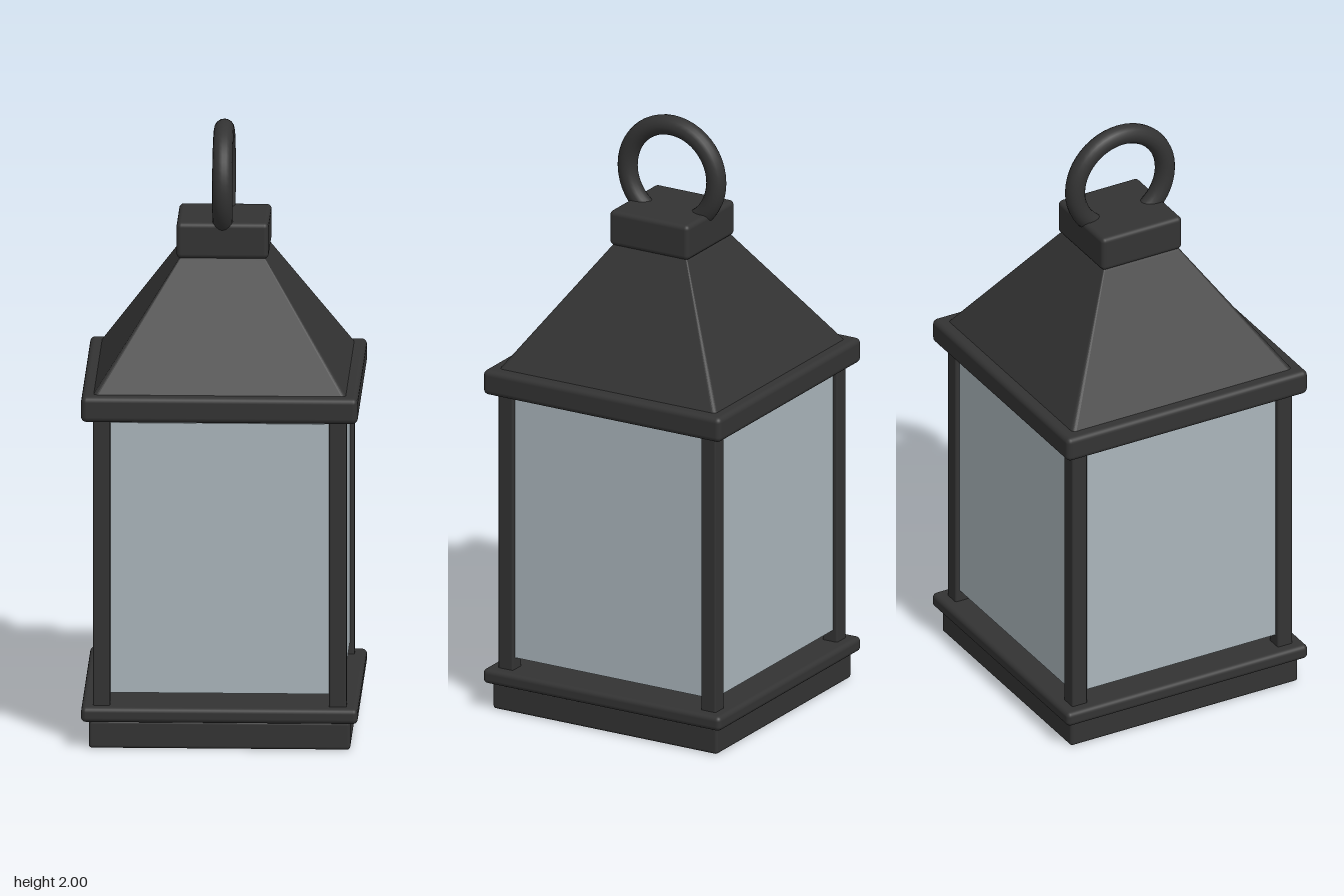
import * as THREE from 'three';
import { RoundedBoxGeometry } from 'three/addons/geometries/RoundedBoxGeometry.js';

const iron = new THREE.MeshStandardMaterial({ color: 0x333333 });
iron.name = 'black iron';
const glass = new THREE.MeshStandardMaterial({ color: 0xaab5bb });
glass.name = 'pale glass';

export function createModel() {
  const model = new THREE.Group();
  model.name = 'lantern';

  const add = (name, geometry, material, x = 0, y = 0, z = 0) => {
    const mesh = new THREE.Mesh(geometry, material);
    mesh.name = name;
    mesh.position.set(x, y, z);
    model.add(mesh);
    return mesh;
  };
  // Square slab with softened edges between two heights
  const slab = (name, width, y0, y1, radius, x = 0, z = 0) =>
    add(name, new RoundedBoxGeometry(width, y1 - y0, width, 3, radius), iron, x, (y0 + y1) / 2, z);

  // Base, ledge, cornice and cap
  slab('base', 0.85, 0, 0.092, 0.01);
  slab('baseLedge', 0.9, 0.09, 0.14, 0.016);
  slab('cornice', 0.9, 1.09, 1.175, 0.018);
  slab('cap', 0.3, 1.57, 1.69, 0.016);

  // Corner posts
  for (const x of [-1, 1]) {
    for (const z of [-1, 1]) slab('cornerPost', 0.056, 0.13, 1.1, 0.006, x * 0.384, z * 0.384);
  }

  // Glass panes set into the posts, with a small gap above and below
  for (let i = 0; i < 4; i++) {
    const angle = (i * Math.PI) / 2;
    const pane = add('glassPane', new THREE.BoxGeometry(0.75, 0.9, 0.02), glass,
      Math.sin(angle) * 0.387, 0.63, Math.cos(angle) * 0.387);
    pane.rotation.y = angle;
  }

  // Roof: a softened block tapered towards the top
  const height = 0.42;
  const roof = new RoundedBoxGeometry(0.84, height, 0.84, 3, 0.015);
  const p = roof.attributes.position;
  for (let i = 0; i < p.count; i++) {
    const t = p.getY(i) / height + 0.5;
    const s = 1 - 0.68 * t;
    p.setXYZ(i, p.getX(i) * s, p.getY(i), p.getZ(i) * s);
  }
  roof.computeVertexNormals();
  add('roof', roof, iron, 0, 1.16 + height / 2, 0);

  // Hanging ring, upright from front to back
  const ring = add('hangingRing', new THREE.TorusGeometry(0.168, 0.033, 16, 48), iron, 0, 1.799, 0);
  ring.rotation.y = Math.PI / 2;

  return model;
}
